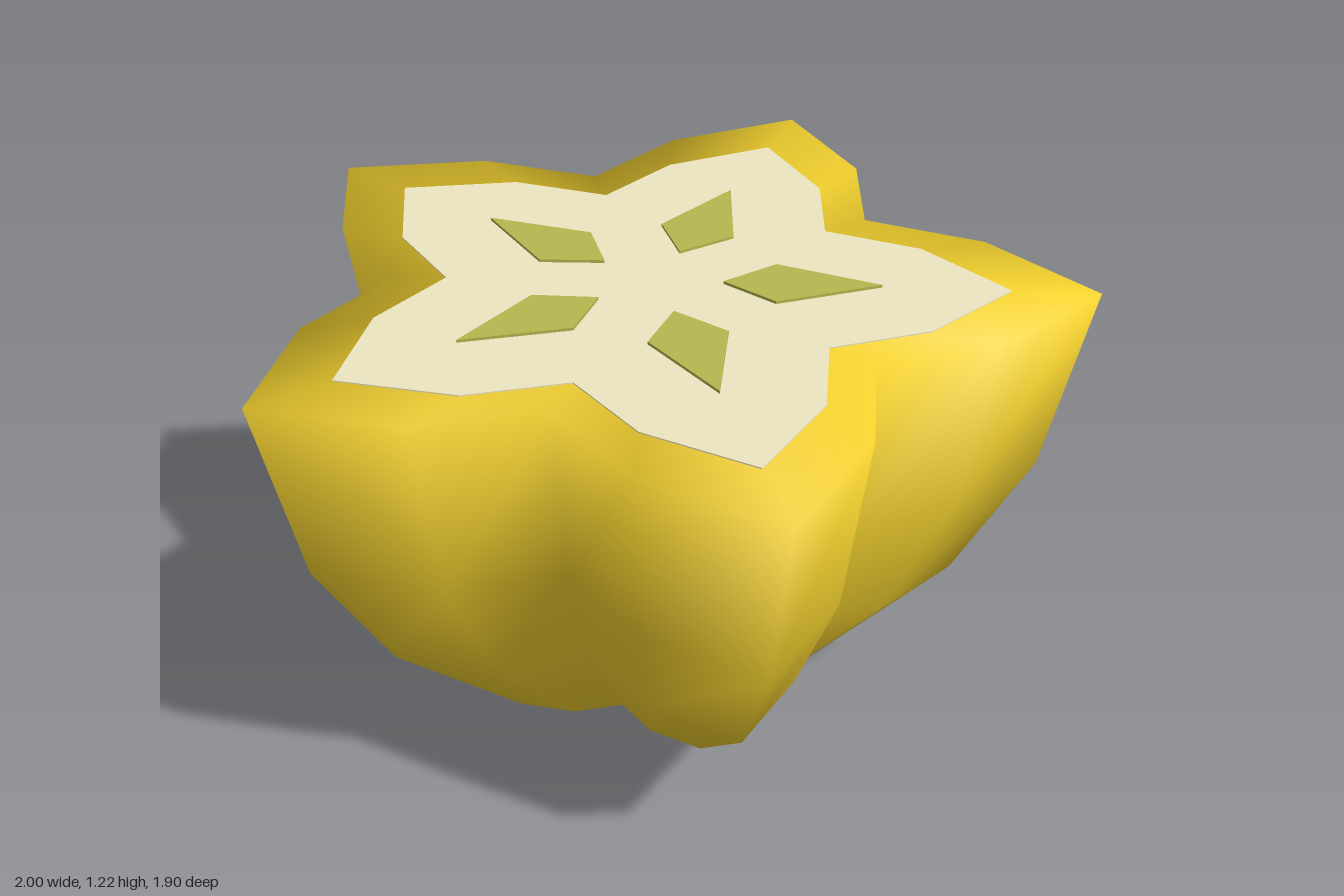
import * as THREE from 'three';

const CENTRE_Z = -0.1;
const TOP = 1.21;
const STEPS = 20; // four outline points per lobe, five lobes
const RADII = [1.05, 0.84, 0.626, 0.84]; // tip, shoulder, valley, shoulder
const PROFILE = [[0.4, 0.11], [0.72, 0.41], [0.9, 0.735], [1, TOP]]; // scale, height

const polar = (r, a) => [r * Math.sin(a), r * Math.cos(a)];
const starPoint = (i, scale) => polar(RADII[i % 4] * scale, (i / STEPS) * Math.PI * 2);

// Star cross-sections joined into a bowl-shaped body, closed by a cap
function bodyGeometry() {
  const pos = [0, 0, 0];
  const index = [];
  for (const [scale, y] of PROFILE) {
    for (let i = 0; i < STEPS; i++) {
      const [x, z] = starPoint(i, scale);
      pos.push(x, y, z);
    }
  }
  pos.push(0, TOP, 0);
  const capCentre = pos.length / 3 - 1;
  const at = (level, i) => 1 + level * STEPS + (i % STEPS);
  const last = PROFILE.length - 1;
  for (let i = 0; i < STEPS; i++) {
    index.push(0, at(0, i + 1), at(0, i));
    for (let j = 0; j < last; j++) {
      index.push(at(j, i), at(j, i + 1), at(j + 1, i + 1));
      index.push(at(j, i), at(j + 1, i + 1), at(j + 1, i));
    }
    index.push(capCentre, at(last, i), at(last, i + 1));
  }
  const geo = new THREE.BufferGeometry();
  geo.setAttribute('position', new THREE.Float32BufferAttribute(pos, 3));
  geo.setIndex(index);
  geo.computeVertexNormals();
  return geo;
}

// Thin flat slab lying on the cut face, from [x, z] points
function slab(points, depth) {
  const shape = new THREE.Shape(points.map(([x, z]) => new THREE.Vector2(x, -z)));
  const geo = new THREE.ExtrudeGeometry(shape, { depth, bevelEnabled: false });
  return geo.rotateX(-Math.PI / 2).translate(0, TOP, 0);
}

export function createModel() {
  const model = new THREE.Group();
  model.name = 'halfStarFruit';
  const add = (name, geo, color) => {
    const mesh = new THREE.Mesh(geo, new THREE.MeshStandardMaterial({ color }));
    mesh.name = name;
    mesh.position.z = CENTRE_Z;
    model.add(mesh);
    return mesh;
  };

  // Ribbed skin
  add('skin', bodyGeometry(), 0xf2d02e);

  // Pale flesh on the cut face
  const flesh = Array.from({ length: STEPS }, (_, i) => starPoint(i, 0.8));
  add('flesh', slab(flesh, 0.003), 0xeee6c2);

  // One kite-shaped seed per lobe
  const kite = [[0, 0.16], [0.095, 0.285], [0, 0.535], [-0.095, 0.285]];
  const seedGeo = slab(kite, 0.01);
  for (let i = 0; i < 5; i++) {
    add('seed' + (i + 1), seedGeo, 0xb6b74e).rotation.y = (i / 5) * Math.PI * 2;
  }
  return model;
}
